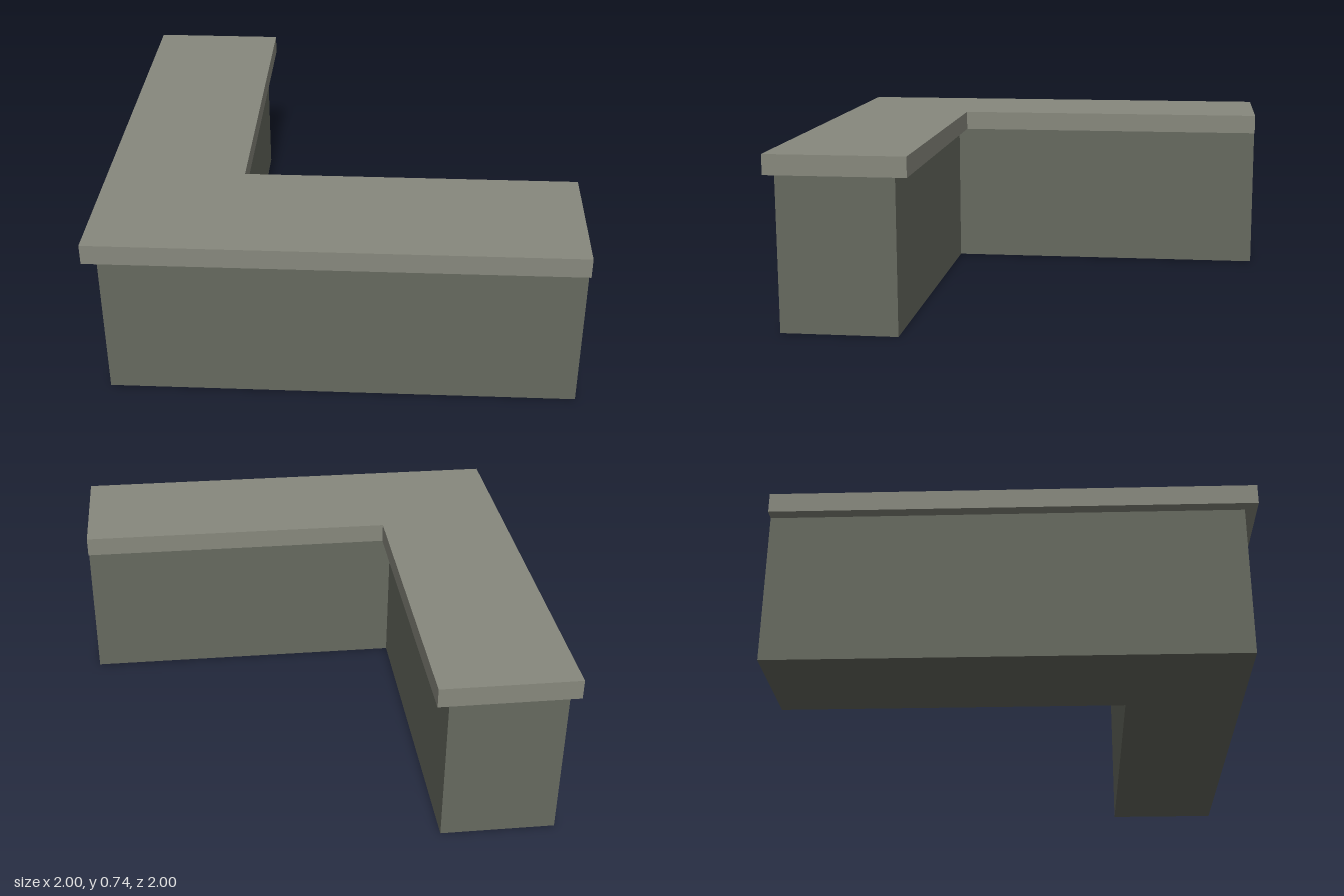
import * as THREE from 'three';

// L-shaped block with its corner at front right (-x, +z); outer and inner are
// the distances of its long faces from the centre lines
function lBlock(name, outer, inner, bottom, top, material) {
  const shape = new THREE.Shape([
    [-outer, -outer], [1, -outer], [1, -inner],
    [-inner, -inner], [-inner, 1], [-outer, 1],
  ].map(([x, y]) => new THREE.Vector2(x, y)));
  const geometry = new THREE.ExtrudeGeometry(shape, { depth: top - bottom, bevelEnabled: false });
  geometry.rotateX(-Math.PI / 2);
  geometry.translate(0, bottom, 0);
  const mesh = new THREE.Mesh(geometry, material);
  mesh.name = name;
  return mesh;
}

export function createModel() {
  const baseStone = new THREE.MeshStandardMaterial({ color: 0x66695f });
  baseStone.name = 'dark grey base';
  const topStone = new THREE.MeshStandardMaterial({ color: 0x87887d });
  topStone.name = 'light grey top';

  const model = new THREE.Group();
  model.name = 'cornerCounter';
  // Body, set back under the overhang on its long sides and flush at both ends
  model.add(lBlock('counterBody', 0.95, 0.46, 0, 0.65, baseStone));
  // Overhanging worktop
  model.add(lBlock('counterTop', 1, 0.413, 0.65, 0.735, topStone));
  return model;
}
